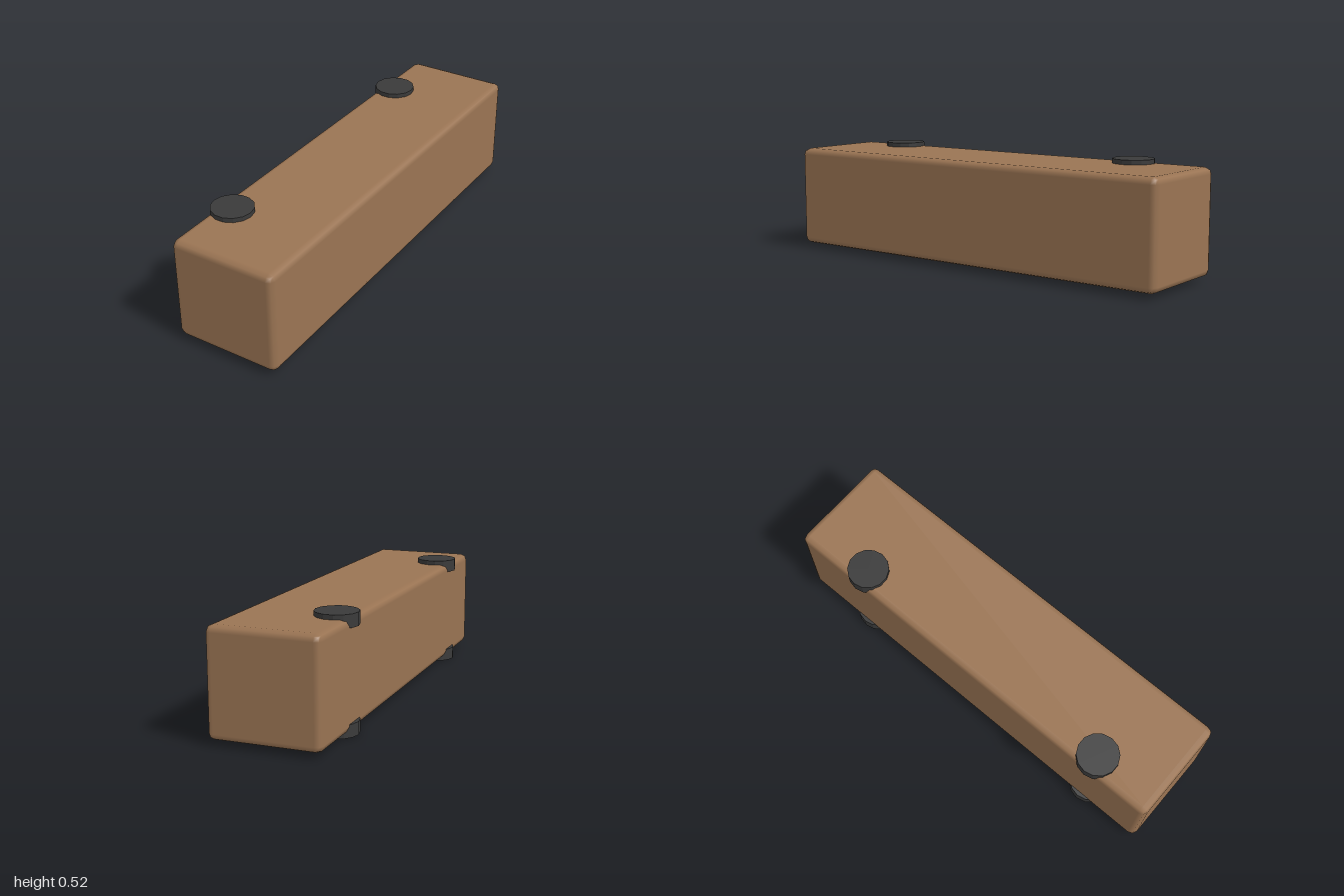
import * as THREE from 'three';
import { RoundedBoxGeometry } from 'three/addons/geometries/RoundedBoxGeometry.js';

export function createModel() {
  const model = new THREE.Group();
  const brown = new THREE.MeshStandardMaterial({ color: 0x9a7453 });
  const rubber = new THREE.MeshStandardMaterial({ color: 0x3a3a3a, flatShading: true });
  const dark = new THREE.MeshStandardMaterial({ color: 0x2c3236 });

  const add = (name, geometry, material, x, y, z) => {
    const mesh = new THREE.Mesh(geometry, material);
    mesh.name = name;
    mesh.position.set(x, y, z);
    model.add(mesh);
  };

  // Long bar with a small two-step bevel
  add('body', new RoundedBoxGeometry(0.496, 0.475, 2, 1, 0.03), brown, 0.009, 0.258, 0);

  // Discs overhanging the right edge, above and below
  const disc = new THREE.CylinderGeometry(0.095, 0.095, 0.057, 14);
  disc.rotateY(Math.PI / 2);
  for (const [end, z] of [['front', 0.687], ['back', -0.648]]) {
    add(end + 'TopDisc', disc, rubber, -0.163, 0.4875, z);
    add(end + 'BottomDisc', disc, rubber, -0.163, 0.0285, z);
  }

  // Row of seven thin plates on the underside
  const plate = new THREE.BoxGeometry(0.144, 0.02, 0.19);
  for (let i = -3; i <= 3; i++) {
    add('undersidePlate', plate, dark, 0.105, 0.024, 0.022 + i * 0.248);
  }
  return model;
}
